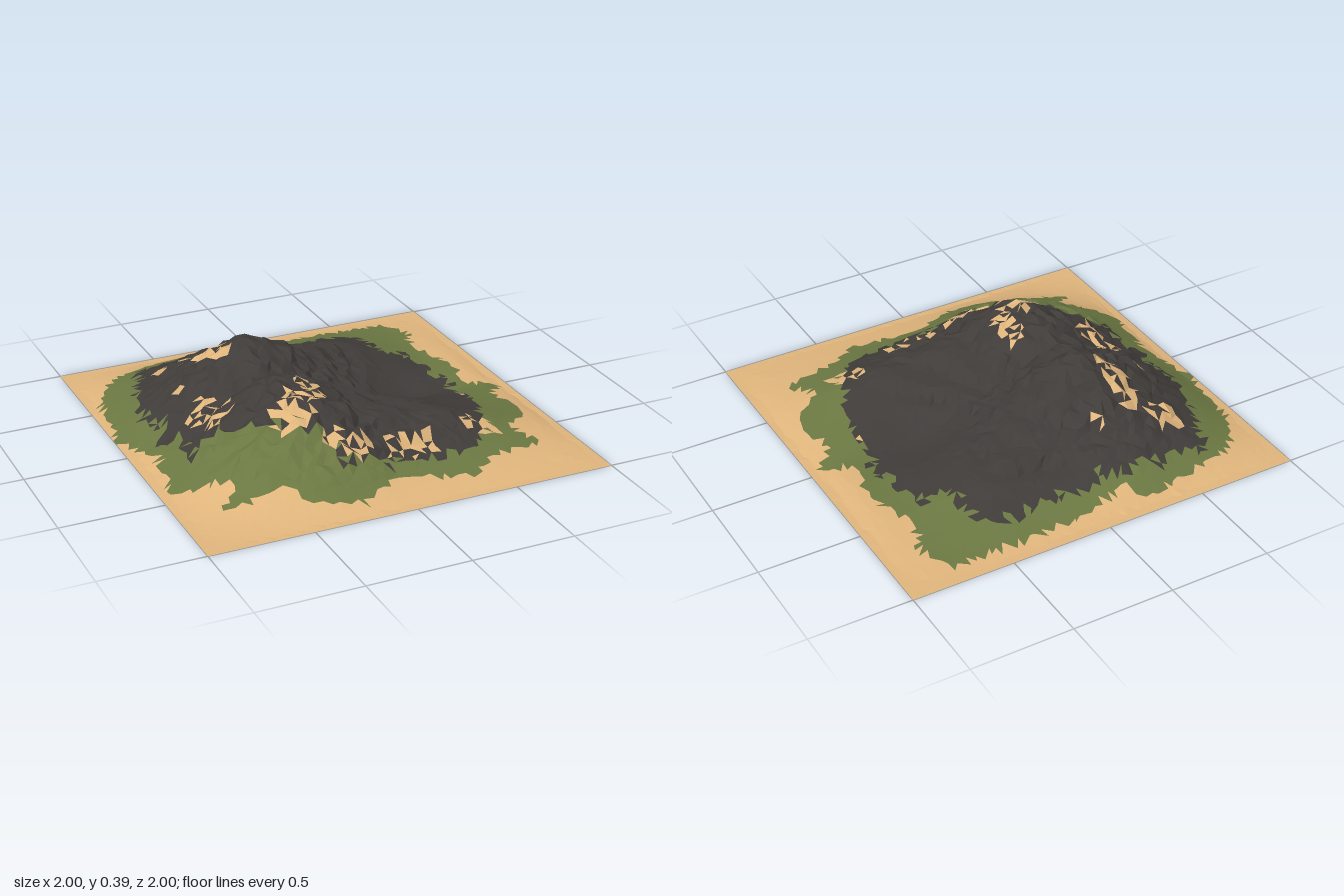
import * as THREE from 'three';

// Height of the ridge seen along z, and along x (position, height)
const PROFILE_X = [[-1, 0], [-0.95, 0.01], [-0.8, 0.1], [-0.7, 0.17], [-0.6, 0.25], [-0.5, 0.3], [-0.4, 0.36],
  [-0.32, 0.39], [-0.2, 0.36], [-0.1, 0.32], [0, 0.25], [0.1, 0.22], [0.25, 0.185], [0.4, 0.17], [0.5, 0.145],
  [0.6, 0.12], [0.7, 0.09], [0.8, 0.06], [0.9, 0.03], [0.97, 0], [1, 0]];
const PROFILE_Z = [[-1, 0], [-0.95, 0.005], [-0.9, 0.03], [-0.8, 0.09], [-0.7, 0.15], [-0.6, 0.2], [-0.5, 0.27],
  [-0.4, 0.32], [-0.3, 0.38], [-0.2, 0.4], [-0.1, 0.36], [0, 0.31], [0.1, 0.345], [0.2, 0.355], [0.4, 0.335],
  [0.5, 0.3], [0.6, 0.22], [0.7, 0.15], [0.8, 0.08], [0.9, 0.03], [0.97, 0], [1, 0]];

// Outlines of the grass belt and of the bare rock, as (x, z)
const GRASS = [[-0.8, -0.8], [-0.5, -0.88], [-0.25, -0.92], [-0.2, -0.83], [0.1, -0.9], [0.74, -0.9], [0.83, -0.72],
  [0.75, -0.55], [0.85, -0.3], [0.8, -0.05], [0.95, 0.03], [0.85, 0.15], [0.9, 0.38], [0.72, 0.55], [0.82, 0.7],
  [0.5, 0.75], [0.38, 0.85], [0, 0.79], [-0.2, 0.9], [-0.45, 0.84], [-0.5, 0.72], [-0.83, 0.73], [-0.7, 0.58],
  [-0.95, 0.45], [-0.9, 0.1], [-0.99, -0.2], [-0.93, -0.6]];
const ROCK = [[-0.68, -0.77], [-0.3, -0.79], [0.1, -0.76], [0.5, -0.77], [0.55, -0.46], [0.69, -0.43], [0.72, -0.1],
  [0.67, 0.3], [0.6, 0.52], [0.45, 0.68], [0.1, 0.73], [-0.2, 0.69], [-0.24, 0.55], [-0.4, 0.46], [-0.6, 0.32],
  [-0.8, 0.27], [-0.76, 0.12], [-0.88, 0.04], [-0.8, -0.05], [-0.84, -0.3], [-0.76, -0.5]];

// Where sandy scree gathers: centre x, z, radius x, z, density
const SCREE = [[-0.42, -0.35, 0.1, 0.22, 1], [-0.58, -0.55, 0.12, 0.15, 0.85], [-0.22, -0.55, 0.07, 0.09, 0.8],
  [-0.68, -0.2, 0.09, 0.12, 0.8], [-0.62, 0.1, 0.14, 0.25, 0.8], [-0.33, 0.4, 0.2, 0.16, 0.95],
  [-0.18, 0.62, 0.2, 0.1, 0.9], [0.15, 0.63, 0.3, 0.09, 0.95], [0.55, 0.55, 0.15, 0.12, 0.75],
  [0.7, 0.05, 0.04, 0.12, 0.9], [-0.18, 0.2, 0.1, 0.25, 0.75]];

function sample(profile, t) {
  for (let i = 1; i < profile.length; i++) {
    const [a, ha] = profile[i - 1], [b, hb] = profile[i];
    if (t <= b) return ha + (hb - ha) * (t - a) / (b - a);
  }
  return 0;
}

function inside(outline, x, z) {
  let hit = false;
  outline.forEach(([ax, az], i) => {
    const [bx, bz] = outline[(i + 1) % outline.length];
    if ((az > z) !== (bz > z) && x < ax + (bx - ax) * (z - az) / (bz - az)) hit = !hit;
  });
  return hit;
}

// Repeatable random value for a grid cell, and smooth noise made from it
const { lerp, smoothstep: step } = THREE.MathUtils;
function hash(i, j, seed) {
  const s = Math.sin(i * 127.1 + j * 311.7 + seed * 74.7) * 43758.5453;
  return s - Math.floor(s);
}
function noise(x, z, seed) {
  const i = Math.floor(x), j = Math.floor(z);
  const u = step(x - i, 0, 1), v = step(z - j, 0, 1);
  return lerp(lerp(hash(i, j, seed), hash(i + 1, j, seed), u),
    lerp(hash(i, j + 1, seed), hash(i + 1, j + 1, seed), u), v);
}
const bump = (x, z, cx, cz, rx, rz) => Math.exp(-(((x - cx) / rx) ** 2) - ((z - cz) / rz) ** 2);

function height(x, z) {
  let h = sample(PROFILE_X, x) * sample(PROFILE_Z, z) / 0.4;
  // hollow on one flank, opening outwards and held between a front and a back spur
  h -= 0.11 * bump(x, z, 0.44, -0.1, 0.27, 0.31);
  h -= 0.035 * bump(x, z, 0.72, -0.3, 0.16, 0.35);
  h += 0.03 * bump(x, z, 0.32, 0.45, 0.28, 0.13);
  const along = 0.85 * (x - 0.2) - 0.53 * (z + 0.48), across = 0.53 * (x - 0.2) + 0.85 * (z + 0.48);
  h += 0.035 * bump(along, across, 0, 0, 0.24, 0.13);
  h = Math.max(h, 0.012 * step(1 - Math.max(Math.abs(x), Math.abs(z)), 0.05, 0.2));
  // level ledges of rock stepping down into the hollow
  const size = 0.055, k = h / size + 0.4 * noise(x * 5, z * 3, 7), floor = Math.floor(k);
  const ledge = h + size * (step(k - floor, 0.32, 0.68) - (k - floor));
  const ledges = step(x, -0.2, -0.05) * (1 - step(x, 0.3, 0.5)) * step(h, 0.05, 0.11) * step(z, -0.75, -0.6);
  h += (ledge - h) * ledges * 0.85;
  // gullies and lumps on the steep flank and the front spur
  const rough = Math.max(1 - step(x, -0.15, 0.1), 0.6 * step(z, 0.35, 0.5));
  return h + (noise(x * 7, z * 12, 1) - 0.5) * 0.035 * rough * step(h, 0.03, 0.2);
}

function groundType(x, z, i, j) {
  const wobble = 0.08 * (hash(i, j, 8) - 0.5);
  if (!inside(GRASS, x, z)) return 'sandBorder';
  const scree = Math.max(...SCREE.map(([cx, cz, rx, rz, density]) => density * bump(x, z, cx, cz, rx, rz)));
  const patch = 0.45 * noise(x * 12, z * 12, 3) + 0.55 * hash(i, j, 5);
  if (scree * patch > 0.38) return 'sandyScree';
  return inside(ROCK, x + wobble, z - wobble) ? 'bareRock' : 'grassBelt';
}

export function createModel() {
  const N = 50, cell = 2 / N;
  const points = [];
  // loosely scattered grid of ground points; the rim stays straight and flat
  for (let j = 0; j <= N; j++) {
    for (let i = 0; i <= N; i++) {
      const rim = i === 0 || j === 0 || i === N || j === N;
      const shift = rim ? 0 : cell * 0.6;
      const x = -1 + i * cell + (hash(i, j, 1) - 0.5) * shift;
      const z = -1 + j * cell + (hash(i, j, 2) - 0.5) * shift;
      let y = rim ? 0 : height(x, z);
      const crag = step(y, 0.05, 0.2) * Math.max(1 - step(x, -0.25, 0.1), 0.8 * step(z, 0.35, 0.5), 0.15);
      y += (hash(i, j, 4) - 0.5) * 0.03 * crag;
      points.push([x, y, z]);
    }
  }

  // sort the facets by what covers them
  const facets = { sandBorder: [], grassBelt: [], bareRock: [], sandyScree: [] };
  const addFacet = (i, j, ...ids) => {
    const [a, b, c] = ids.map((id) => points[id]);
    const type = groundType((a[0] + b[0] + c[0]) / 3, (a[2] + b[2] + c[2]) / 3, i, j);
    facets[type].push(...a, ...b, ...c);
  };
  for (let j = 0; j < N; j++) {
    for (let i = 0; i < N; i++) {
      const a = j * (N + 1) + i, b = a + N + 1, c = a + 1, d = b + 1;
      if (hash(i, j, 6) < 0.5) {
        addFacet(i, j, a, b, c);
        addFacet(i + 0.5, j, c, b, d);
      } else {
        addFacet(i, j, a, b, d);
        addFacet(i + 0.5, j, a, d, c);
      }
    }
  }

  const colors = { sandBorder: 0xe0b57c, grassBelt: 0x6b7842, bareRock: 0x403c3a, sandyScree: 0xe0b57c };
  const group = new THREE.Group();
  group.name = 'rockyHill';
  for (const [name, corners] of Object.entries(facets)) {
    const geometry = new THREE.BufferGeometry();
    geometry.setAttribute('position', new THREE.Float32BufferAttribute(corners, 3));
    geometry.computeVertexNormals();
    const material = new THREE.MeshStandardMaterial({ color: colors[name], flatShading: true, side: THREE.DoubleSide });
    const mesh = new THREE.Mesh(geometry, material);
    mesh.name = name;
    group.add(mesh);
  }
  return group;
}
